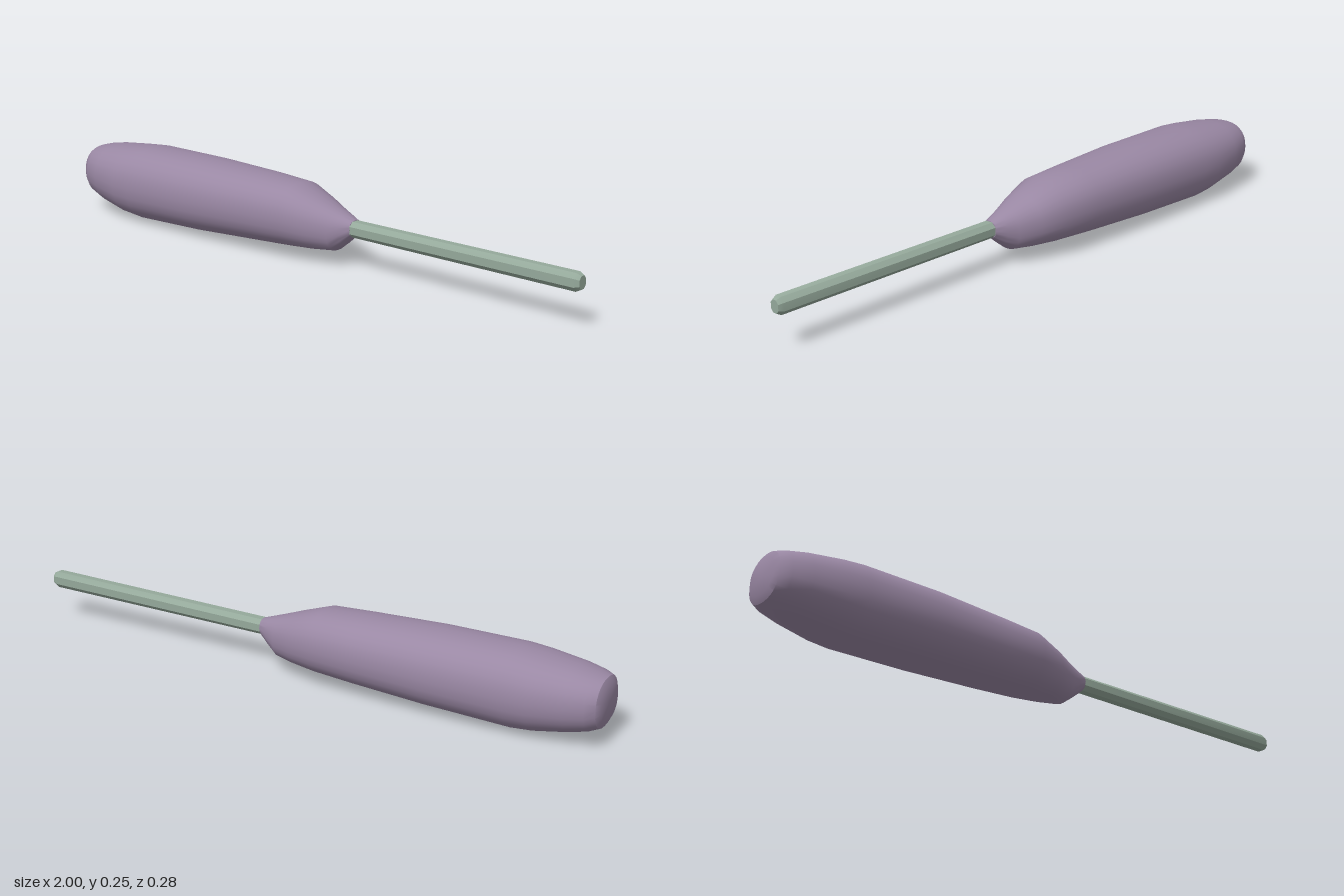
import * as THREE from 'three';
import { toCreasedNormals } from 'three/addons/utils/BufferGeometryUtils.js';

// Closed skin along x through sections [x, yMin, yMax, zMin, zMax];
// power above 2 makes the rings squarer than an ellipse.
function loft(sections, sides, power, turn, crease) {
  const pos = [], idx = [];
  const bend = (v) => Math.sign(v) * Math.abs(v) ** (2 / power);
  for (const [x, y0, y1, z0, z1] of sections) {
    for (let j = 0; j < sides; j++) {
      const a = ((j + turn) / sides) * Math.PI * 2;
      pos.push(x,
        (y0 + y1) / 2 + ((y1 - y0) / 2) * bend(Math.sin(a)),
        (z0 + z1) / 2 + ((z1 - z0) / 2) * bend(Math.cos(a)));
    }
  }
  const last = sections.length - 1;
  for (let i = 0; i < last; i++) {
    for (let j = 0; j < sides; j++) {
      const k = (j + 1) % sides;
      const a = i * sides + j, b = a + sides, c = (i + 1) * sides + k, d = i * sides + k;
      idx.push(a, b, c, a, c, d);
    }
  }
  // end caps
  for (const end of [0, last]) {
    const [x, y0, y1, z0, z1] = sections[end];
    const centre = pos.length / 3;
    pos.push(x, (y0 + y1) / 2, (z0 + z1) / 2);
    for (let j = 0; j < sides; j++) {
      const a = end * sides + j, b = end * sides + ((j + 1) % sides);
      if (end === 0) idx.push(centre, a, b);
      else idx.push(centre, b, a);
    }
  }
  const geo = new THREE.BufferGeometry();
  geo.setAttribute('position', new THREE.Float32BufferAttribute(pos, 3));
  geo.setIndex(idx);
  return toCreasedNormals(geo, crease);
}

function part(name, geometry, color) {
  const mesh = new THREE.Mesh(geometry, new THREE.MeshStandardMaterial({ color }));
  mesh.name = name;
  return mesh;
}

export function createModel() {
  const group = new THREE.Group();
  group.name = 'screwdriver';

  // Swollen grip: rounded butt, long belly, nose tapering to the shaft
  const grip = [
    [-1.0, 0.075, 0.19, -0.07, 0.06],
    [-0.99, 0.055, 0.208, -0.09, 0.08],
    [-0.96, 0.042, 0.217, -0.107, 0.1],
    [-0.9, 0.026, 0.228, -0.12, 0.118],
    [-0.79, 0.006, 0.241, -0.135, 0.137],
    [-0.72, 0.0, 0.248, -0.137, 0.138],
    [-0.45, 0.01, 0.249, -0.139, 0.135],
    [-0.2, 0.025, 0.243, -0.132, 0.118],
    [-0.06, 0.034, 0.237, -0.123, 0.108],
    [0.03, 0.04, 0.207, -0.095, 0.083],
    [0.1, 0.048, 0.182, -0.066, 0.055],
    [0.135, 0.075, 0.17, -0.05, 0.04],
    [0.17, 0.105, 0.158, -0.032, 0.025],
  ];
  group.add(part('handle', loft(grip, 28, 2.3, 0, 0.6), 0x9a88a4));

  // Faceted shaft with a small bevel at the tip
  const shaft = [
    [0.1, 0.104, 0.158, -0.031, 0.026],
    [0.17, 0.104, 0.158, -0.031, 0.026],
    [0.985, 0.11, 0.169, -0.029, 0.021],
    [1.0, 0.118, 0.161, -0.022, 0.013],
  ];
  group.add(part('shaft', loft(shaft, 8, 2.3, 0.5, 0.5), 0x95a99b));

  return group;
}
